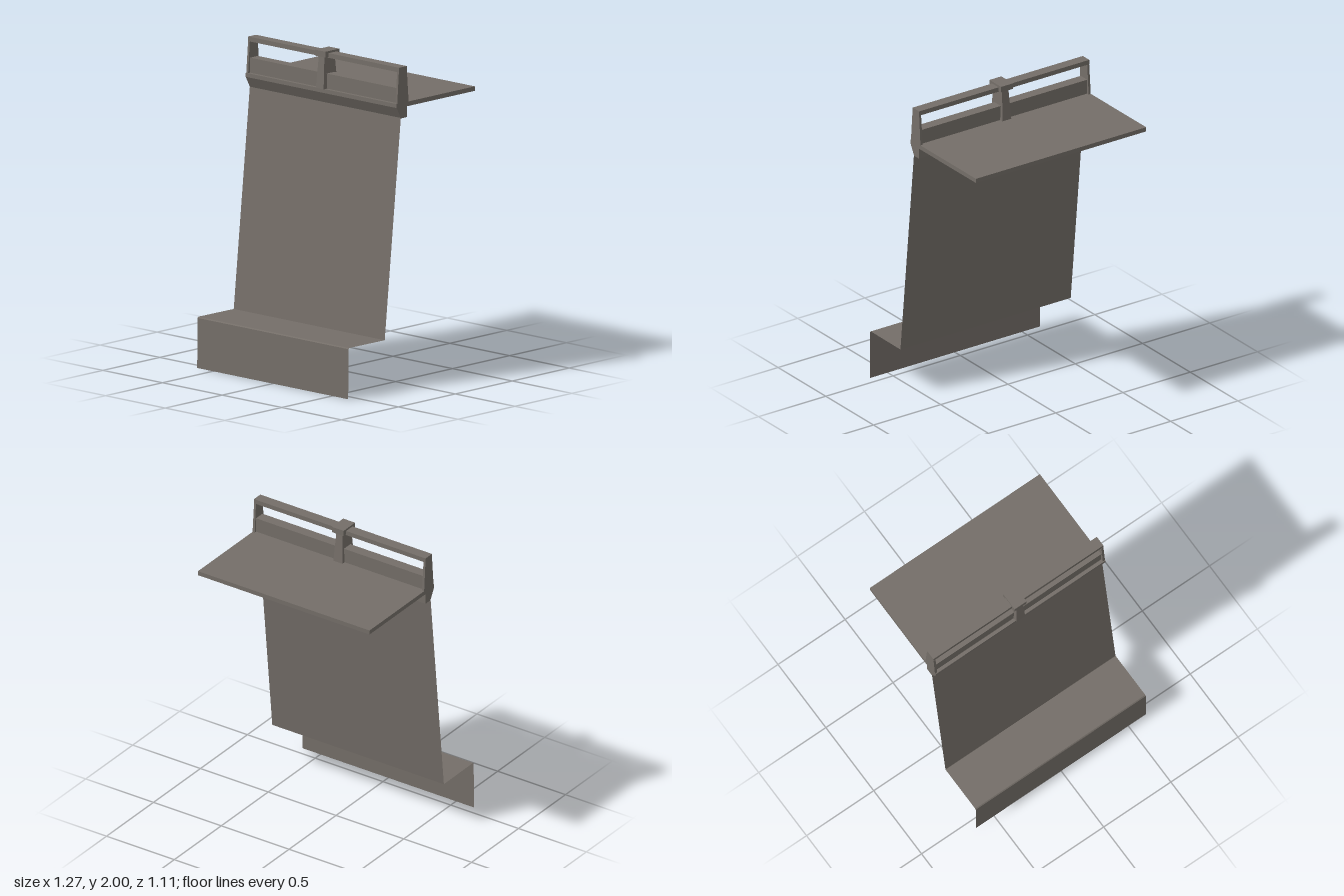
import * as THREE from 'three';

const W = 1.266; // overall width

export function createModel() {
  const group = new THREE.Group();
  const stone = new THREE.MeshStandardMaterial({ color: 0x746e68, side: THREE.DoubleSide, flatShading: true });
  stone.name = 'grey stone';

  const add = (name, geometry) => {
    const mesh = new THREE.Mesh(geometry, stone);
    mesh.name = name;
    group.add(mesh);
    return mesh;
  };

  // Box given by its x, y and z limits
  const block = (name, x0, x1, y0, y1, z0, z1) => {
    const g = new THREE.BoxGeometry(x1 - x0, y1 - y0, z1 - z0);
    g.translate((x0 + x1) / 2, (y0 + y1) / 2, (z0 + z1) / 2);
    return add(name, g);
  };

  // Upright post whose top is scaled down in x and z
  const post = (name, x, z, width, depth, y0, y1, topX, topZ) => {
    const g = new THREE.BoxGeometry(width, y1 - y0, depth);
    const p = g.attributes.position;
    for (let i = 0; i < p.count; i++) {
      if (p.getY(i) > 0) p.setXYZ(i, p.getX(i) * topX, p.getY(i), p.getZ(i) * topZ);
    }
    g.translate(x, (y0 + y1) / 2, z);
    g.computeVertexNormals();
    return add(name, g);
  };

  // Open sheet across the full width between two [z, y] points
  const sheet = (name, [z0, y0], [z1, y1]) => {
    const g = new THREE.PlaneGeometry(W, 1);
    const p = g.attributes.position;
    for (let i = 0; i < p.count; i++) {
      const top = p.getY(i) > 0;
      p.setXYZ(i, p.getX(i), top ? y1 : y0, top ? z1 : z0);
    }
    g.computeVertexNormals();
    return add(name, g);
  };

  // Leaning wall, ledge and skirt
  sheet('wall', [0.235, 0.315], [0.092, 1.69]);
  sheet('ledge', [0.546, 0.317], [0.235, 0.315]);
  sheet('ledgeBevel', [0.552, 0.31], [0.546, 0.317]);
  sheet('skirt', [0.556, 0], [0.552, 0.31]);

  // Cornice with a sloped lower front
  const profile = new THREE.Shape([
    [0.04, 1.67], [0.092, 1.67], [0.13, 1.74], [0.13, 1.765], [0.04, 1.765],
  ].map(([z, y]) => new THREE.Vector2(-z, y)));
  const cornice = new THREE.ExtrudeGeometry(profile, { depth: W, bevelEnabled: false });
  cornice.translate(0, 0, -W / 2);
  cornice.rotateY(Math.PI / 2);
  add('cornice', cornice);

  // Walkway slab behind the wall
  block('walkway', -W / 2, W / 2, 1.737, 1.765, -0.556, 0.04);

  // Parapet and rail
  block('parapet', -0.62, 0.62, 1.765, 1.858, 0.04, 0.108);
  block('rail', -W / 2, W / 2, 1.958, 1.987, 0.04, 0.108);
  for (const side of [-1, 1]) {
    post('endPost', side * 0.625, 0.075, 0.016, 0.1, 1.765, 1.96, 0.9, 0.7);
  }

  // Centre post and its cap
  post('centrePost', -0.003, 0.078, 0.066, 0.124, 1.765, 1.966, 0.7, 0.72);
  block('centreCap', -0.047, 0.041, 1.963, 2, 0.014, 0.136);

  return group;
}
